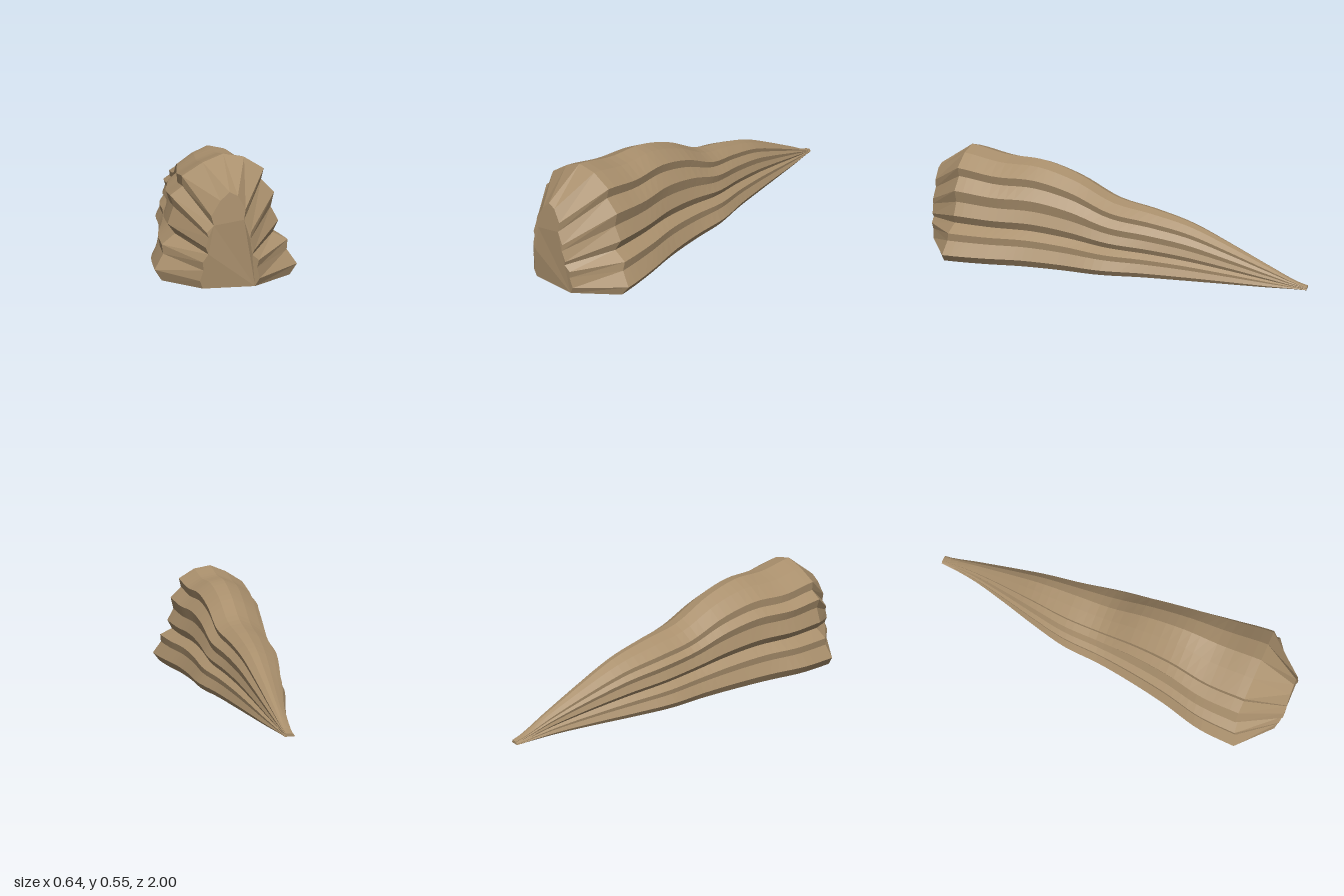
import * as THREE from 'three';

const V = (x, y) => new THREE.Vector2(x, y);
const toPoints = (list) => list.map(([x, y]) => V(x, y));

// Stepped outline at the widest section, from the left foot over the crest to the right foot
const OUTLINE = toPoints([
  [0.285, 0], [0.32, 0.047], [0.275, 0.112], [0.28, 0.155], [0.213, 0.19], [0.24, 0.24],
  [0.205, 0.305], [0.22, 0.37], [0.16, 0.43], [0.172, 0.478], [0.083, 0.532], [-0.01, 0.549],
  [-0.1, 0.513], [-0.193, 0.455], [-0.19, 0.41], [-0.245, 0.37], [-0.23, 0.32], [-0.257, 0.243],
  [-0.225, 0.2], [-0.285, 0.155], [-0.28, 0.115], [-0.32, 0.047], [-0.29, 0],
]);

// Smaller outline of the flat front face, point for point
const FACE = toPoints([
  [0.098, 0], [0.118, 0.035], [0.105, 0.085], [0.112, 0.12], [0.082, 0.145], [0.09, 0.165],
  [0.072, 0.215], [0.075, 0.245], [0.046, 0.3], [0.053, 0.345], [0.02, 0.403], [-0.015, 0.42],
  [-0.055, 0.385], [-0.095, 0.32], [-0.085, 0.28], [-0.115, 0.25], [-0.108, 0.23], [-0.12, 0.185],
  [-0.108, 0.155], [-0.132, 0.12], [-0.128, 0.083], [-0.143, 0.035], [-0.13, 0],
]);

// Sizes at even steps from z = 0.8 back to z = -1
const smooth = (values) => {
  const curve = new THREE.SplineCurve(values.map((v, i) => V(i, v)));
  return (t) => curve.getPoint(t).y;
};
const crestHeight = smooth([0.549, 0.515, 0.51, 0.455, 0.36, 0.32, 0.272, 0.19, 0.1, 0.015]);
const footHeight = smooth([1, 0.98, 0.95, 0.86, 0.75, 0.64, 0.52, 0.37, 0.2, 0.03]);
const leftWidth = smooth([0.32, 0.29, 0.245, 0.219, 0.205, 0.157, 0.12, 0.085, 0.05, 0.012]);
const rightWidth = smooth([0.32, 0.312, 0.265, 0.23, 0.205, 0.195, 0.152, 0.1, 0.055, 0.035]);

const ROWS = 40;

function section(t) {
  return OUTLINE.map((p) => {
    const up = p.y / 0.549;
    const sy = THREE.MathUtils.lerp(footHeight(t), crestHeight(t) / 0.549, Math.min(1, up * 1.3));
    const sx = (p.x > 0 ? leftWidth(t) : rightWidth(t)) / 0.32;
    const startZ = 0.84 - 0.05 * Math.min(1, p.y / 0.25);
    return new THREE.Vector3(p.x * sx, p.y * sy, THREE.MathUtils.lerp(startZ, -1, t));
  });
}

function meshFrom(name, points, index, color) {
  const geometry = new THREE.BufferGeometry().setFromPoints(points);
  geometry.setIndex(index);
  const flat = geometry.toNonIndexed();
  flat.computeVertexNormals();
  const mesh = new THREE.Mesh(flat, new THREE.MeshStandardMaterial({ color, flatShading: true }));
  mesh.name = name;
  return mesh;
}

export function createModel() {
  const group = new THREE.Group();
  group.name = 'layeredRock';

  const face = FACE.map((p) => new THREE.Vector3(p.x, p.y, 1 - 0.09 * Math.abs(p.y - 0.2)));
  const rings = [face];
  for (let i = 0; i <= ROWS; i++) rings.push(section(i / ROWS));

  // Layered body: skin between neighbouring sections, including the flat underside
  const n = OUTLINE.length;
  const index = [];
  for (let i = 0; i < rings.length - 1; i++) {
    for (let j = 0; j < n; j++) {
      const k = (j + 1) % n;
      const a = i * n + j, b = i * n + k, c = b + n, d = a + n;
      index.push(a, c, b, a, d, c);
    }
  }

  // Small closing face at the tail tip
  const last = (rings.length - 1) * n;
  for (const [a, b, c] of THREE.ShapeUtils.triangulateShape(OUTLINE, [])) {
    index.push(last + a, last + c, last + b);
  }
  group.add(meshFrom('rockBody', rings.flat(), index, 0xa98f6c));

  // Flat front face
  const faceIndex = THREE.ShapeUtils.triangulateShape(FACE, []).flat();
  group.add(meshFrom('frontFace', face, faceIndex, 0xa98f6c));

  return group;
}
